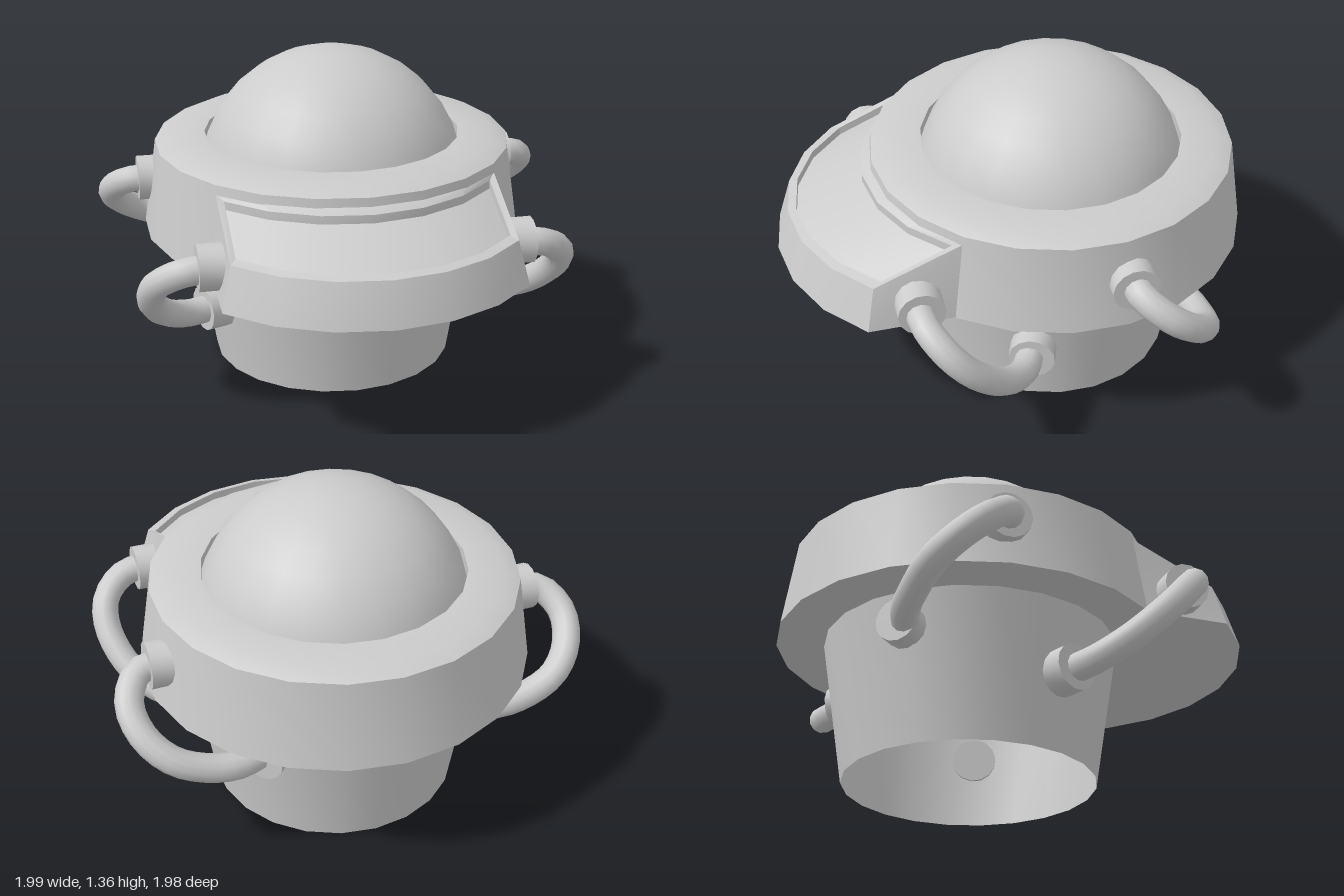
import * as THREE from 'three';
import { toCreasedNormals } from 'three/addons/utils/BufferGeometryUtils.js';

const SIDES = 22;
const STEP = (Math.PI * 2) / SIDES;
const AXIS_Z = -0.18; // centre of the round body
const mat = new THREE.MeshStandardMaterial({ color: 0xcccccc, side: THREE.DoubleSide });
const V = (x, y, z) => new THREE.Vector3(x, y, z);

function addMesh(parent, name, geometry) {
  const mesh = new THREE.Mesh(geometry, mat);
  mesh.name = name;
  parent.add(mesh);
  return mesh;
}

// Round part turned from a [radius, height] profile
function turned(profile) {
  const pts = profile.map(([r, y]) => new THREE.Vector2(r, y));
  return toCreasedNormals(new THREE.LatheGeometry(pts, SIDES), 0.5);
}

// Projecting front tray with a sunken sloping floor, swept through seven columns
function trayGeometry() {
  const columns = [];
  for (let i = -3; i <= 3; i++) {
    const s = Math.sin(i * STEP), c = Math.cos(i * STEP);
    const on = (r, cz, y, xr = r) => V(s * xr, y, c * r + cz);
    columns.push([
      on(0.80, AXIS_Z, 0.6),          // 0 bottom back
      on(0.81, 0.18, 0.6),            // 1 bottom front
      on(0.755, 0.18, 0.78),          // 2 front edge
      on(0.755, 0.145, 0.79, 0.722),  // 3 rim inside front
      on(0.755, 0.145, 0.755, 0.722), // 4 floor front
      on(0.76, -0.14, 0.88, 0.722),   // 5 floor back
      on(0.76, -0.14, 0.915, 0.722),  // 6 rim inside back
      on(0.76, AXIS_Z, 0.935),        // 7 back edge
    ]);
  }
  const pos = [];
  const quad = (a, b, c, d) => {
    for (const p of [a, b, c, a, c, d]) pos.push(p.x, p.y, p.z);
  };
  for (let i = 0; i < 6; i++) {
    const p = columns[i], q = columns[i + 1];
    for (let k = 0; k < 7; k++) quad(p[k], q[k], q[k + 1], p[k + 1]);
  }
  // Side wall, side rim and inner side wall at both ends
  const l = columns[0], r = columns[6];
  for (const [a, b, c, d] of [[0, 1, 2, 7], [2, 3, 6, 7], [3, 4, 5, 6]]) {
    quad(l[a], l[b], l[c], l[d]);
    quad(r[d], r[c], r[b], r[a]);
  }
  const geo = new THREE.BufferGeometry();
  geo.setAttribute('position', new THREE.Float32BufferAttribute(pos, 3));
  return toCreasedNormals(geo, 0.35);
}

// Short socket cylinder lying along a direction
function addSocket(parent, name, centre, dir, radius, length) {
  const geo = toCreasedNormals(new THREE.CylinderGeometry(radius, radius, length, 14), 0.6);
  const mesh = addMesh(parent, name, geo);
  mesh.position.copy(centre);
  mesh.quaternion.setFromUnitVectors(V(0, 1, 0), dir.clone().normalize());
}

// Hose paths and sockets for the left side; x is mirrored for the right
const hoses = [
  {
    name: 'front',
    path: [[0.6, 0.705, 0.51], [0.73, 0.69, 0.505], [0.83, 0.62, 0.44], [0.85, 0.52, 0.35],
      [0.79, 0.39, 0.21], [0.68, 0.32, 0.1], [0.54, 0.31, 0.03]],
    upper: { at: [0.62, 0.705, 0.505], dir: [1, 0, 0], r: 0.096, len: 0.12 },
    lower: { at: [0.555, 0.31, 0.03], dir: [0.94, 0, 0.34], r: 0.096, len: 0.11 },
  },
  {
    name: 'rear',
    path: [[0.76, 0.79, -0.31], [0.87, 0.78, -0.325], [0.935, 0.71, -0.42], [0.91, 0.62, -0.53],
      [0.82, 0.54, -0.61], [0.69, 0.485, -0.635], [0.56, 0.46, -0.63], [0.42, 0.46, -0.58]],
    upper: { at: [0.78, 0.79, -0.31], dir: [1, 0, 0], r: 0.096, len: 0.1 },
    lower: { at: [0.43, 0.46, -0.6], dir: [0.71, 0, -0.71], r: 0.09, len: 0.11 },
  },
];

export function createModel() {
  const model = new THREE.Group();
  model.name = 'domedMachine';

  // Round body: open tapered base, wide collar and dome
  const body = new THREE.Group();
  body.name = 'body';
  body.position.z = AXIS_Z;
  model.add(body);
  addMesh(body, 'base', turned([[0.52, 0], [0.615, 0.605]]));
  addMesh(body, 'collar', turned([
    [0.6, 0.6], [0.813, 0.6], [0.757, 0.97], [0.69, 1.0], [0.545, 1.0], [0.545, 0.9],
  ]));
  const domeProfile = [];
  const R = 0.57, domeY = 0.79;
  for (let i = 0; i <= 7; i++) {
    const a = 0.19 + (i / 7) * (Math.PI / 2 - 0.19);
    domeProfile.push([Math.max(0, R * Math.cos(a)), domeY + R * Math.sin(a)]);
  }
  addMesh(body, 'dome', turned(domeProfile));

  addMesh(model, 'frontTray', trayGeometry());

  // Looping hoses with a socket at each end
  for (const side of [1, -1]) {
    const sideName = side > 0 ? 'Left' : 'Right';
    const flip = ([x, y, z]) => V(side * x, y, z);
    for (const h of hoses) {
      const group = new THREE.Group();
      group.name = h.name + sideName + 'Hose';
      model.add(group);
      const curve = new THREE.CatmullRomCurve3(h.path.map(flip));
      addMesh(group, 'hose', new THREE.TubeGeometry(curve, 20, 0.058, 12));
      for (const end of ['upper', 'lower']) {
        const s = h[end];
        addSocket(group, end + 'Socket', flip(s.at), flip(s.dir), s.r, s.len);
      }
    }
  }
  return model;
}
